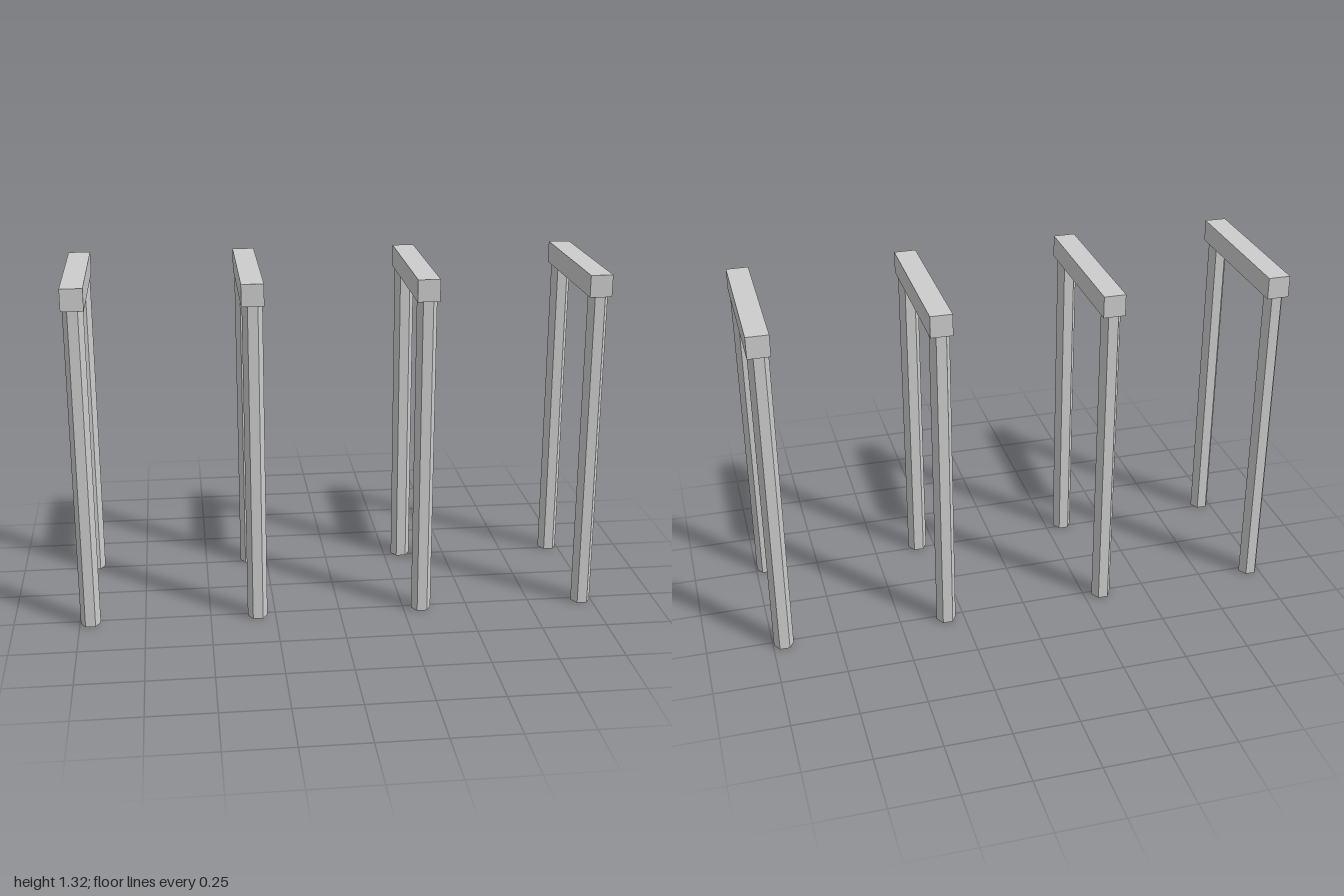
import * as THREE from 'three';

export function createModel() {
  const group = new THREE.Group();
  group.name = 'portalFrames';
  const grey = new THREE.MeshStandardMaterial({ color: 0xcccccc, flatShading: true });
  grey.name = 'light grey';

  const height = 1.32, beamSize = 0.083, postHeight = height - beamSize;

  // Square crossbeam, running front to back
  const beamGeometry = new THREE.BoxGeometry(beamSize, beamSize, 0.618);
  // Hexagonal post with flat sides facing front and back
  const postGeometry = new THREE.CylinderGeometry(0.038, 0.038, postHeight, 6);
  postGeometry.rotateY(Math.PI / 6);

  // Four evenly spaced frames, each with two posts under a beam
  const span = 2 - beamSize;
  for (let i = 0; i < 4; i++) {
    const frame = new THREE.Group();
    frame.name = `frame${i + 1}`;
    frame.position.x = -span / 2 + (span * i) / 3;

    const beam = new THREE.Mesh(beamGeometry, grey);
    beam.name = 'crossbeam';
    beam.position.y = height - beamSize / 2;
    frame.add(beam);

    for (const side of [1, -1]) {
      const post = new THREE.Mesh(postGeometry, grey);
      post.name = side > 0 ? 'frontPost' : 'backPost';
      post.position.set(0, postHeight / 2, side * 0.267);
      frame.add(post);
    }
    group.add(frame);
  }
  return group;
}
